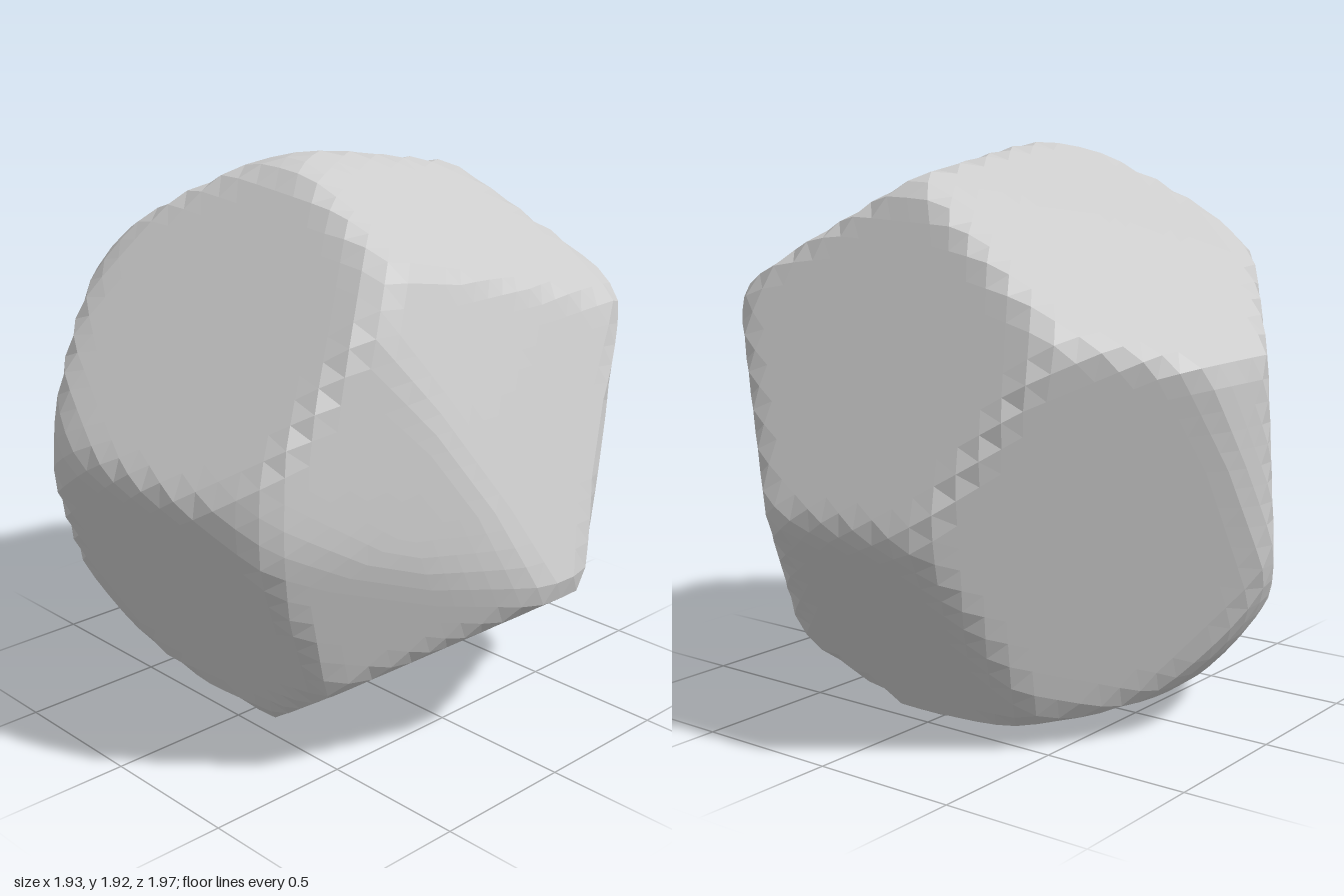
import * as THREE from 'three';

// Flat cuts that shape the stone: outward normal, then distance from the core
const CORE_Y = 0.96;
const CUTS = [
  [0.12, 0.62, 0.84, 0.828],      // upper front
  [0.05, -0.47, 0.88, 0.86],      // lower front
  [0.03, -0.05, 1, 0.993],        // narrow front brow
  [0.95, 0.32, 0.0, 0.81],        // upper +x side
  [0.92, 0.11, 0.38, 0.865],      // front +x side
  [0.86, -0.225, 0.46, 0.917],    // lower front +x side
  [0.45, 0.87, -0.18, 0.832],     // top, +x half
  [-0.565, 0.825, -0.12, 0.785],  // top, -x half
  [-0.85, 0.06, 0.54, 0.842],     // front -x side
  [-0.8, -0.23, -0.55, 0.856],    // back -x side
  [-1, 0, -0.1, 0.966],           // narrow -x flank
  [0.735, -0.15, -0.66, 0.862],   // back +x side
  [-0.07, 0.35, -0.94, 0.845],    // upper back
  [-0.02, -0.57, -0.82, 0.927],   // lower back
  [0.57, -0.82, 0.0, 0.851],      // underside, +x half
  [-0.16, -0.985, 0.04, 0.94],    // underside, -x half
  [0, 1, 0, 0.96],                // small crown
  [0, -1, 0, 0.965],              // small foot
];

// Ball that rounds off the corners between cuts
const CENTRE = new THREE.Vector3(0.01, 0.91, -0.02);
const RADIUS = 1.043;
const SHARPNESS = 90; // higher gives tighter edges

const planes = CUTS.map(([x, y, z, d]) => {
  const n = new THREE.Vector3(x, y, z).normalize();
  // distance measured from the ball's centre
  return { n, d: d + n.y * CORE_Y - n.dot(CENTRE) };
});

// Soft minimum of the ball radius and the distance to every cut
function reach(dir) {
  let sum = Math.exp(-SHARPNESS * RADIUS);
  for (const { n, d } of planes) {
    const c = n.dot(dir);
    if (c > 0.1) sum += Math.exp((-SHARPNESS * d) / c);
  }
  return -Math.log(sum) / SHARPNESS;
}

export function createModel() {
  const geometry = new THREE.IcosahedronGeometry(1, 15);
  const pos = geometry.attributes.position;
  const p = new THREE.Vector3();
  for (let i = 0; i < pos.count; i++) {
    p.fromBufferAttribute(pos, i).normalize();
    p.multiplyScalar(reach(p)).add(CENTRE);
    pos.setXYZ(i, p.x, p.y, p.z);
  }
  geometry.computeVertexNormals();

  const stone = new THREE.Mesh(
    geometry,
    new THREE.MeshStandardMaterial({ color: 0xcccccc, flatShading: true })
  );
  stone.name = 'boulder';

  const group = new THREE.Group();
  group.name = 'rock';
  group.add(stone);
  return group;
}
